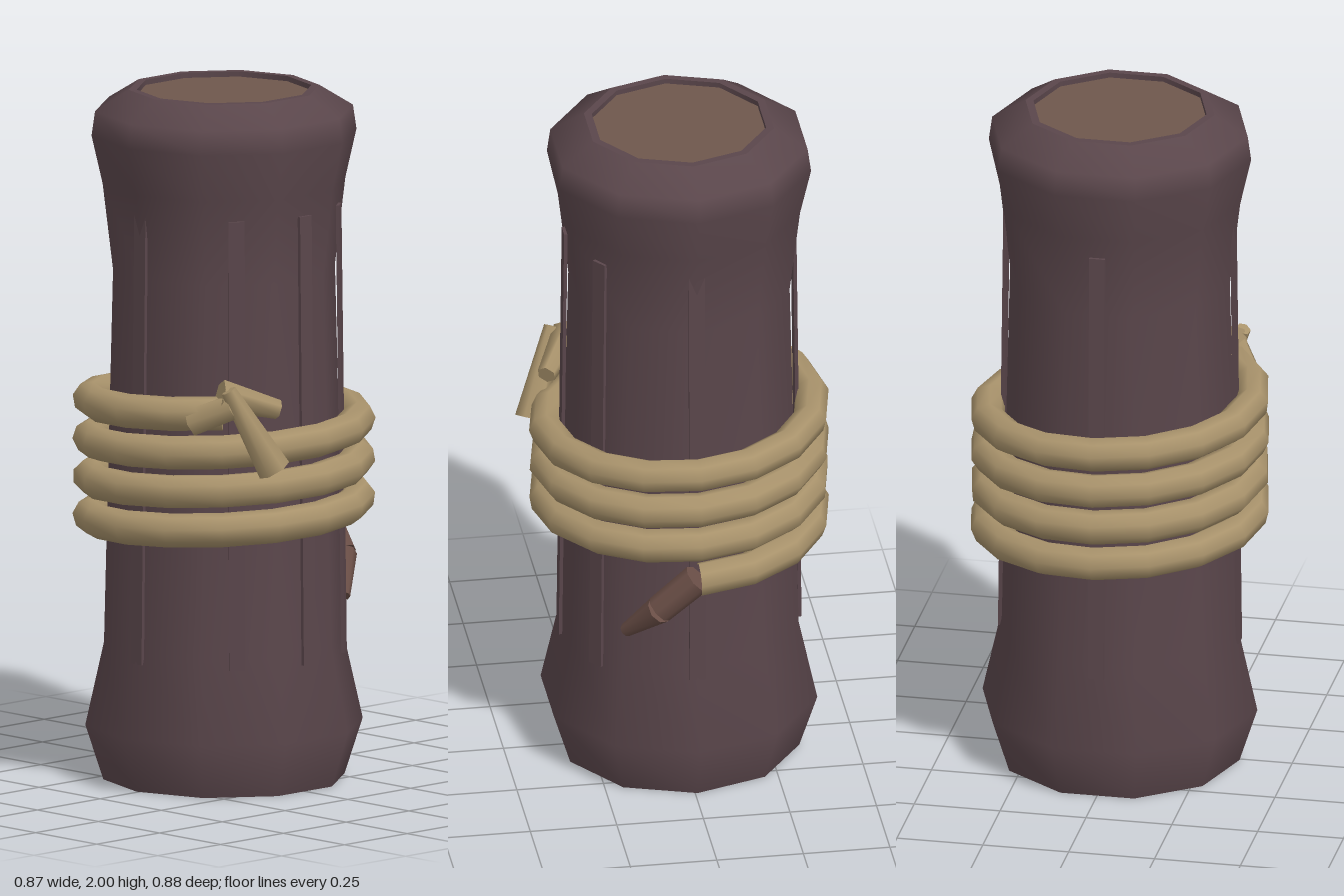
import * as THREE from 'three';

const Z0 = -0.007; // axis of the log
const V = (x, y, z) => new THREE.Vector3(x, y, z);

function material(name, color, side = THREE.FrontSide) {
  const m = new THREE.MeshStandardMaterial({ color, side });
  m.name = name;
  return m;
}

function add(parent, name, geometry, mat) {
  const mesh = new THREE.Mesh(geometry, mat);
  mesh.name = name;
  parent.add(mesh);
  return mesh;
}

// Ten-sided turned shape with a corner on +x
function turned(points) {
  const profile = points.map(([r, y]) => new THREE.Vector2(r, y));
  return new THREE.LatheGeometry(profile, 10, Math.PI / 2);
}

// Tapered strand from a to b
function strand(parent, name, a, b, ra, rb, mat, sides = 6) {
  const dir = b.clone().sub(a);
  const mesh = add(parent, name, new THREE.CylinderGeometry(rb, ra, dir.length(), sides), mat);
  mesh.position.copy(a).add(b).multiplyScalar(0.5);
  mesh.quaternion.setFromUnitVectors(V(0, 1, 0), dir.normalize());
  return mesh;
}

// Rope path climbing from the left side round the back
class Coil extends THREE.Curve {
  getPoint(u, target = new THREE.Vector3()) {
    const t = u * 7.25 * Math.PI;
    return target.set(0.384 * Math.cos(t), 0.715 + 0.113 * t / (2 * Math.PI), -0.384 * Math.sin(t));
  }
}

export function createModel() {
  const model = new THREE.Group();
  model.name = 'ropedLog';
  const bark = material('bark', 0x5a464b);
  const wood = material('cut wood', 0x6e574c);
  const rope = material('rope', 0xa8926b, THREE.DoubleSide);
  const frayed = material('rope end', 0x6b4f47);

  // Log with flared ends
  const log = new THREE.Group();
  log.name = 'log';
  log.position.z = Z0;
  model.add(log);
  add(log, 'trunk', turned([
    [0.348, 0], [0.4, 0.16], [0.346, 0.4], [0.32, 1.48],
    [0.35, 1.73], [0.382, 1.87], [0.372, 1.94], [0.275, 2],
  ]), bark);
  add(log, 'topRim', turned([[0.275, 2], [0.252, 2]]), bark);
  add(log, 'rimWall', turned([[0.252, 2], [0.252, 1.985]]), bark);
  const top = add(log, 'cutTop', new THREE.CircleGeometry(0.252, 10), wood);
  top.rotation.x = -Math.PI / 2;
  top.position.y = 1.985;
  const base = add(log, 'base', new THREE.CircleGeometry(0.348, 10), bark);
  base.rotation.x = Math.PI / 2;

  // Thin upright bark strips, leaning in towards the top
  for (const degrees of [0, 38, -38, 90, -90, 180]) {
    const strip = new THREE.Group();
    strip.name = 'barkStrip';
    strip.rotation.y = THREE.MathUtils.degToRad(degrees);
    log.add(strip);
    const plate = add(strip, 'stripPlate', new THREE.BoxGeometry(0.046, 1.3, 0.01), bark);
    plate.position.set(0, 1.02, 0.338);
    plate.rotation.x = -0.012;
  }

  // Coiled rope, sixteen segments a turn
  const coil = add(model, 'ropeCoil', new THREE.TubeGeometry(new Coil(), 58, 0.049, 8), rope);
  coil.position.z = Z0;

  // Knot at the upper end
  const knot = new THREE.Group();
  knot.name = 'knot';
  model.add(knot);
  strand(knot, 'knotLoop', V(-0.285, 1.18, 0.27), V(-0.135, 1.13, 0.355), 0.046, 0.028, rope);
  strand(knot, 'knotTail', V(-0.295, 1.2, 0.315), V(-0.185, 0.965, 0.39), 0.022, 0.048, rope);
  strand(knot, 'knotBack', V(-0.33, 1.1, 0.2), V(-0.27, 1.15, 0.31), 0.045, 0.04, rope);

  // Hanging lower end
  const tail = new THREE.Group();
  tail.name = 'hangingEnd';
  model.add(tail);
  const bend = V(0.362, 0.615, 0.105);
  strand(tail, 'tailUpper', V(0.388, 0.72, 0), bend, 0.045, 0.042, frayed, 8);
  strand(tail, 'tailTip', bend, V(0.283, 0.512, 0.19), 0.042, 0.02, frayed, 8);

  return model;
}
